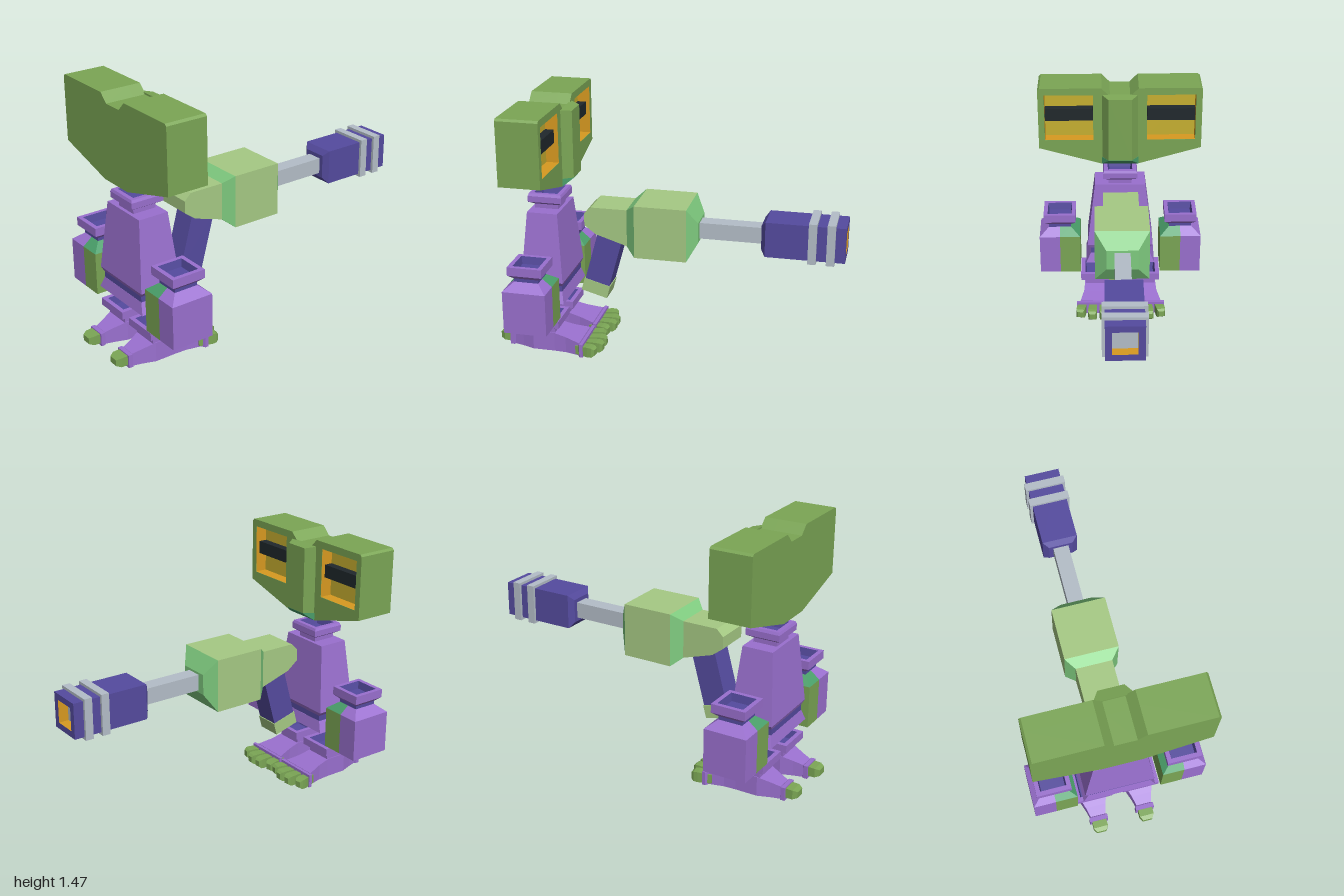
import * as THREE from 'three';

const mat = (name, color) => Object.assign(new THREE.MeshStandardMaterial({ color }), { name });
const green = mat('leafGreen', 0x7ba655), purple = mat('purple', 0x9a70cf), indigo = mat('indigo', 0x554b9f);
const lime = mat('paleGreen', 0xa6ca84), mint = mat('mint', 0x80cc80), teal = mat('teal', 0x4a9f6a);
const grey = mat('grey', 0xb4bec8), yellow = mat('yellow', 0xc8b030), amber = mat('amber', 0xd89a20);
const black = mat('black', 0x20282c);

// Skin over rectangular rings [height, halfX, halfZ, offsetX, offsetZ]
function loft(rings, capStart = true, capEnd = true) {
  const pos = [];
  const quad = (a, b, c, d) => pos.push(...a, ...b, ...c, ...a, ...c, ...d);
  const r = rings.map(([y, hx, hz, ox = 0, oz = 0]) => [
    [ox + hx, y, oz + hz], [ox + hx, y, oz - hz], [ox - hx, y, oz - hz], [ox - hx, y, oz + hz]]);
  for (let i = 0; i + 1 < r.length; i++)
    for (let k = 0; k < 4; k++) {
      const n = (k + 1) % 4;
      quad(r[i][k], r[i][n], r[i + 1][n], r[i + 1][k]);
    }
  const s = r[0], e = r[r.length - 1];
  if (capStart) quad(s[0], s[3], s[2], s[1]);
  if (capEnd) quad(e[0], e[1], e[2], e[3]);
  const g = new THREE.BufferGeometry();
  g.setAttribute('position', new THREE.Float32BufferAttribute(pos, 3));
  g.computeVertexNormals();
  return g;
}
// Same, running along z: rings [z, halfX, halfY, x, y], listed towards -z
const loftZ = (rings, a, b) =>
  loft(rings.map(([z, ...rest]) => [-z, ...rest]), a, b).rotateX(-Math.PI / 2);

function add(parent, name, geometry, material, x = 0, y = 0, z = 0) {
  const m = new THREE.Mesh(geometry, material);
  m.name = name;
  m.position.set(x, y, z);
  parent.add(m);
  return m;
}
const box = (x, y, z) => new THREE.BoxGeometry(x, y, z);
function group(parent, name, x = 0, y = 0, z = 0) {
  const g = new THREE.Group();
  g.name = name;
  g.position.set(x, y, z);
  parent.add(g);
  return g;
}

function buildHead(root) {
  const head = group(root, 'head');
  const half = [[0.06, 1.42], [0.11, 1.47], [0.475, 1.47], [0.487, 1.458], [0.487, 1.09], [0.11, 0.985]];
  const outline = [...half, ...half.map(([x, y]) => [-x, y]).reverse()].map(p => new THREE.Vector2(...p));
  const extrude = (shape, depth) => new THREE.ExtrudeGeometry(shape, { depth, bevelEnabled: false });
  add(head, 'headShell', extrude(new THREE.Shape(outline), 0.163), green, 0, 0, 0.682);
  const face = new THREE.Shape(outline);
  for (const s of [-1, 1]) {
    const a = s * 0.305;
    face.holes.push(new THREE.Path([[-1, -1], [1, -1], [1, 1], [-1, 1]].map(
      ([u, v]) => new THREE.Vector2(a + u * 0.145, 1.285 + v * 0.143))));
    // Recessed eye with a dark bar
    add(head, 'eyeSocket', loftZ([[0.605, 0.144, 0.142, a, 1.285], [0.681, 0.144, 0.142, a, 1.285]], false, false), amber);
    add(head, 'eyeBack', box(0.288, 0.284, 0.004), yellow, a, 1.285, 0.68);
    add(head, 'eyeBar', box(0.286, 0.075, 0.05), black, a, 1.295, 0.653);
  }
  add(head, 'headFace', extrude(face, 0.077), green, 0, 0, 0.605);
  // Ridge between the eyes
  add(head, 'bridge', loftZ([[0.61, 0.11, 0.2, 0, 1.23], [0.55, 0.07, 0.195, 0, 1.225]]), green);
  add(head, 'chin', loftZ([[0.605, 0.11, 0.0225, 0, 1.0075], [0.55, 0.07, 0.001, 0, 1.029]]), teal);
  add(head, 'neckPlate', box(0.18, 0.006, 0.2), grey, 0, 0.984, 0.72);
}

function buildTorso(root) {
  const t = group(root, 'torso', 0, 0, 0.72);
  add(t, 'chest', loft([[0.4, 0.185, 0.115], [0.425, 0.205, 0.125], [0.83, 0.155, 0.09]]), purple);
  add(t, 'waist', loft([[0.36, 0.184, 0.114], [0.405, 0.184, 0.114]]), indigo);
  add(t, 'skirt', loft([[0.3, 0.215, 0.13], [0.365, 0.185, 0.115]]), purple);
  add(t, 'skirtUnderside', box(0.39, 0.006, 0.23), indigo, 0, 0.299, 0);
  add(t, 'neck', loft([[0.83, 0.07, 0.07], [0.855, 0.07, 0.07], [0.875, 0.105, 0.1], [0.91, 0.105, 0.1],
    [0.925, 0.098, 0.094], [0.925, 0.075, 0.07]], true, false), purple);
  add(t, 'neckSocket', loft([[0.925, 0.075, 0.07], [0.88, 0.065, 0.06]], false), indigo);
}

function buildArm(root, s) {
  const arm = group(root, s > 0 ? 'leftArm' : 'rightArm', s * 0.378, 0, 0.725);
  // Inner half green, outer half purple
  for (const [side, body, shoulder] of [[-s, green, teal], [s, purple, purple]]) {
    const a = side * 0.0635, b = side * 0.035;
    add(arm, 'armBlock', loft([[0.23, 0.0635, 0.125, a], [0.48, 0.0635, 0.125, a]]), body);
    add(arm, 'shoulder', loft([[0.48, 0.0635, 0.125, a], [0.525, 0.035, 0.07, b]]), shoulder);
  }
  add(arm, 'armNeck', loft([[0.525, 0.07, 0.07], [0.55, 0.07, 0.07]]), indigo);
  add(arm, 'armCollar', loft([[0.545, 0.071, 0.071], [0.57, 0.1, 0.1], [0.62, 0.1, 0.1], [0.62, 0.075, 0.075]], true, false), purple);
  add(arm, 'armSocket', loft([[0.62, 0.075, 0.075], [0.575, 0.068, 0.068]], false), indigo);
}

function buildFoot(root, s) {
  const foot = group(root, s > 0 ? 'leftFoot' : 'rightFoot', s * 0.142, 0, 0);
  const sole = [[0.935, 0.055, 0.078], [0.91, 0.055, 0.078], [0.905, 0.045, 0.075], [0.85, 0.06, 0.092],
    [0.78, 0.085, 0.115], [0.65, 0.085, 0.115], [0.58, 0.09, 0.098], [0.49, 0.112, 0.078]];
  add(foot, 'sole', loftZ(sole.map(([z, hx, h]) => [z, hx, h / 2, 0, h / 2])), purple);
  add(foot, 'toeBand', loftZ([[0.495, 0.115, 0.036, 0, 0.036], [0.485, 0.134, 0.04, 0, 0.04],
    [0.465, 0.134, 0.04, 0, 0.04]]), purple);
  add(foot, 'ankle', loft([[0.09, 0.08, 0.073], [0.14, 0.08, 0.073], [0.155, 0.108, 0.105], [0.2, 0.108, 0.105],
    [0.2, 0.082, 0.08]], true, false).translate(0, 0, 0.72), purple);
  add(foot, 'ankleSocket', loft([[0.2, 0.082, 0.08], [0.15, 0.073, 0.07]], false).translate(0, 0, 0.72), indigo);
  // Four splayed toes and one spur
  for (const k of [-1.5, -0.5, 0.5, 1.5]) {
    const outer = Math.abs(k) > 1;
    const toe = add(foot, 'toe', loftZ([[0.02, 0.024, 0.026], [-0.06, 0.028, 0.031], [-0.085, 0.026, 0.029],
      [-0.1, 0.017, 0.018]]), green, k * 0.064, 0.036, outer ? 0.49 : 0.465);
    toe.rotation.y = -k * 0.13;
  }
  add(foot, 'spur', loftZ([[1, 0.028, 0.018], [0.975, 0.043, 0.027], [0.93, 0.043, 0.029]]), green, 0, 0.043, 0);
}

function buildBlaster(root) {
  const gun = group(root, 'blaster', 0, 0.76, 0);
  // Rear receiver in side profile
  const side = [[0.23, -0.11], [0.42, -0.05], [0.485, 0], [0.485, 0.07], [0.445, 0.11], [0.23, 0.11]];
  const rear = new THREE.ExtrudeGeometry(new THREE.Shape(side.map(p => new THREE.Vector2(...p))),
    { depth: 0.21, bevelEnabled: false }).rotateY(-Math.PI / 2).translate(0.105, 0, 0);
  add(gun, 'receiver', rear, lime);
  add(gun, 'rearBevel', loftZ([[0.235, 0.105, 0.11], [0.18, 0.155, 0.155]]), mint);
  add(gun, 'bodyBlock', loftZ([[0.18, 0.155, 0.155], [-0.12, 0.155, 0.155]]), lime);
  add(gun, 'frontBevel', loftZ([[-0.12, 0.155, 0.155], [-0.175, 0.09, 0.06]]), mint);
  add(gun, 'barrel', box(0.09, 0.094, 0.38), grey, 0, 0, -0.36);
  // Hollow muzzle with two rings
  add(gun, 'muzzle', loftZ([[-0.53, 0.07, 0.07], [-0.555, 0.102, 0.102], [-1, 0.102, 0.102],
    [-1, 0.066, 0.066]], true, false), indigo);
  add(gun, 'bore', loftZ([[-1, 0.066, 0.066], [-0.9, 0.066, 0.066]], false), amber);
  for (const z of [-0.818, -0.92]) add(gun, 'muzzleRing', box(0.236, 0.236, 0.046), grey, 0, 0, z);
  // Slanted grip
  const grip = group(gun, 'grip', 0, -0.08, 0.347);
  grip.rotation.x = -0.27;
  add(grip, 'gripShaft', box(0.14, 0.34, 0.148), indigo, 0, -0.13, 0);
  add(grip, 'gripCap', box(0.146, 0.078, 0.158), lime, 0, -0.335, 0);
}

export function createModel() {
  const root = new THREE.Group();
  root.name = 'robotFigure';
  buildHead(root);
  buildTorso(root);
  for (const s of [-1, 1]) {
    buildArm(root, s);
    buildFoot(root, s);
  }
  buildBlaster(root);
  return root;
}
